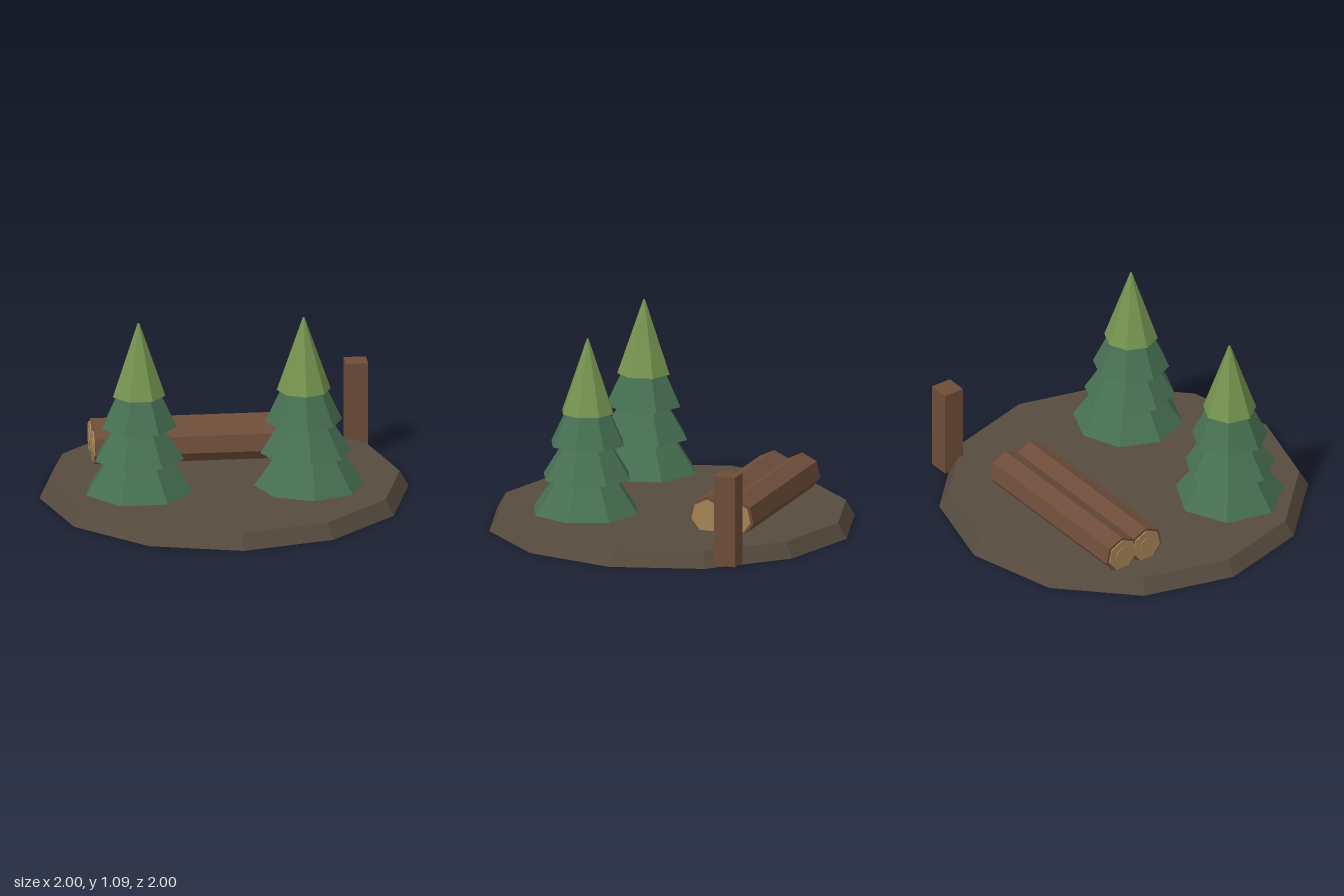
import * as THREE from 'three';

const mat = (name, color) => {
  const m = new THREE.MeshStandardMaterial({ color, flatShading: true });
  m.name = name;
  return m;
};

export function createModel() {
  const root = new THREE.Group();
  root.name = 'forestClearing';
  const earth = mat('earth', 0x574b3f);
  const bark = mat('bark', 0x6d4d39);
  const needles = mat('needles', 0x477052);
  const tip = mat('lightNeedles', 0x76944f);
  const wood = mat('cutWood', 0xa58555);

  const add = (parent, name, geometry, material, x, y, z) => {
    const mesh = new THREE.Mesh(geometry, material);
    mesh.name = name;
    mesh.position.set(x, y, z);
    parent.add(mesh);
    return mesh;
  };

  // Twelve-sided ground slab with a bevelled rim
  add(root, 'ground', new THREE.CylinderGeometry(0.952, 1, 0.085, 12), earth, 0, 0.0425, 0);

  // Trees: trunk, three stacked skirts and a pointed light tip
  const tiers = [
    // bottom y, top y, bottom radius, top radius
    [0.145, 0.33, 0.298, 0.172],
    [0.33, 0.51, 0.247, 0.135],
    [0.51, 0.685, 0.208, 0.125],
    [0.685, 1.092, 0.146, 0.005],
  ];
  const makeTree = (name, sides, z, trunkX, centres) => {
    const tree = new THREE.Group();
    tree.name = name;
    add(tree, 'trunk', new THREE.CylinderGeometry(0.043, 0.043, 0.2, 7), bark, trunkX, 0.102, z);
    tiers.forEach(([y0, y1, r0, r1], i) => {
      const g = new THREE.CylinderGeometry(r1, r0, y1 - y0, sides, 1, false, Math.PI);
      const last = i === 3;
      add(tree, last ? 'treeTip' : 'foliageTier', g, last ? tip : needles, centres[i], (y0 + y1) / 2, z);
    });
    root.add(tree);
  };
  makeTree('rightTree', 7, 0.34, -0.5, [-0.5, -0.5, -0.5, -0.5]);
  makeTree('leftTree', 8, 0.34, 0.415, [0.425, 0.407, 0.395, 0.395]);

  // Two seven-sided logs lying side by side, with ringed cut ends
  const lying = (r, length) =>
    new THREE.CylinderGeometry(r, r, length, 7, 1, false, Math.PI / 2).rotateZ(Math.PI / 2);
  for (const z of [-0.343, -0.503]) {
    const log = new THREE.Group();
    log.name = 'log';
    log.position.set(-0.14, 0.165, z);
    add(log, 'logBark', lying(0.107, 1.06), bark, 0, 0, 0);
    for (const side of [-1, 1]) {
      add(log, 'cutEnd', lying(0.091, 0.008), wood, side * 0.533, 0, 0);
      add(log, 'heartwood', lying(0.048, 0.008), wood, side * 0.537, 0, 0);
    }
    root.add(log);
  }

  // Square post at the rim
  add(root, 'post', new THREE.BoxGeometry(0.12, 0.498, 0.12), bark, 0.78, 0.266, -0.605);

  return root;
}
